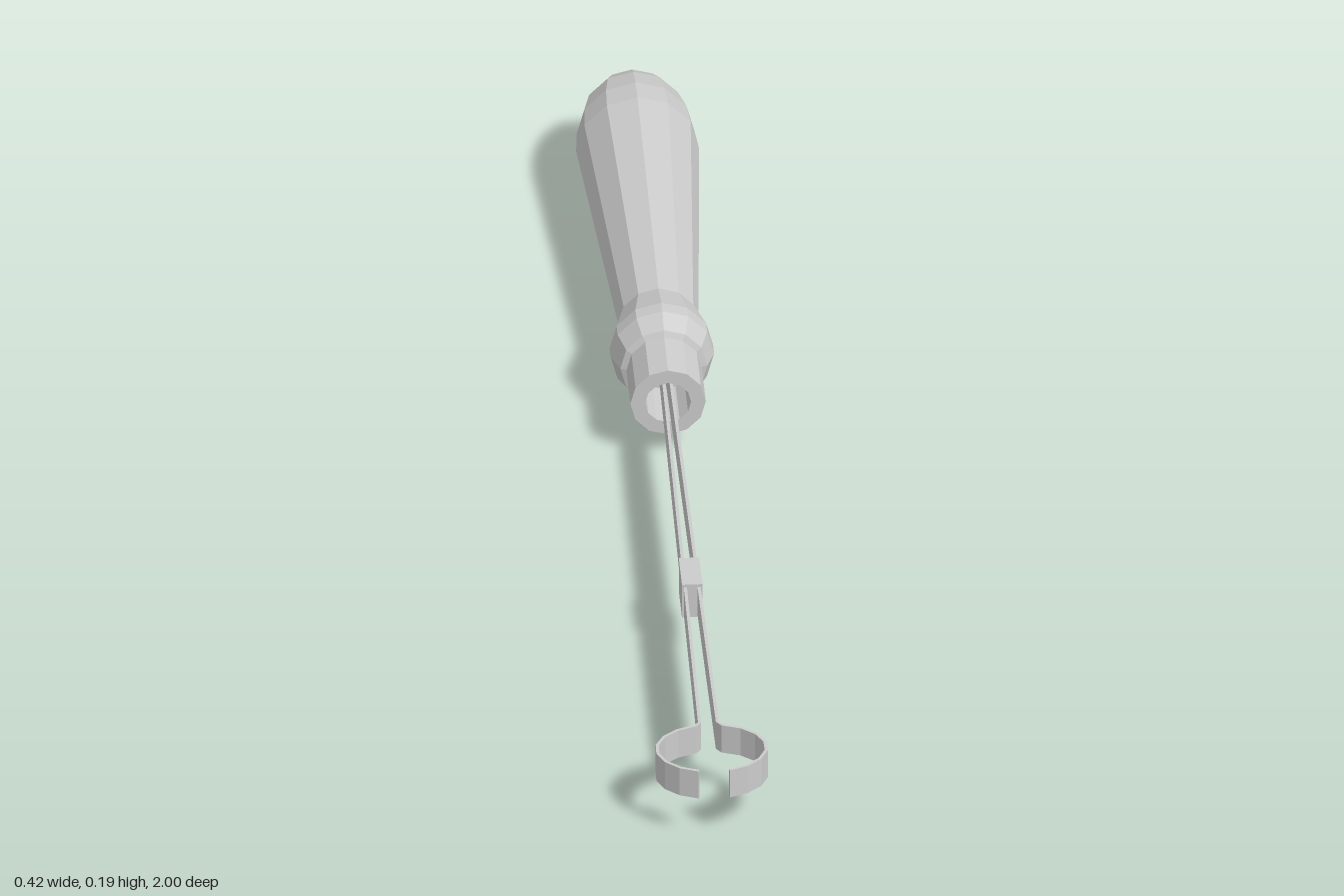
import * as THREE from 'three';

const mat = new THREE.MeshStandardMaterial({ color: 0xcccccc, flatShading: true, side: THREE.DoubleSide });

function add(parent, name, geometry) {
  const mesh = new THREE.Mesh(geometry, mat);
  mesh.name = name;
  parent.add(mesh);
  return mesh;
}

// Twelve-sided turned part along z; profile is [radius, z] from back to front
function turned(profile) {
  const g = new THREE.LatheGeometry(profile.map(([r, z]) => new THREE.Vector2(r, z)), 12);
  return g.rotateX(Math.PI / 2);
}

// Upright sheet-metal strip following a path of [x, z] points
function strip(path, thickness, height) {
  const pts = path.map(([x, z]) => new THREE.Vector2(x, z));
  const side = (sign) => pts.map((p, i) => {
    const a = pts[Math.max(i - 1, 0)], b = pts[Math.min(i + 1, pts.length - 1)];
    const d = b.clone().sub(a).normalize();
    return new THREE.Vector2(p.x - d.y * sign * thickness / 2, p.y + d.x * sign * thickness / 2);
  });
  const shape = new THREE.Shape([...side(1), ...side(-1).reverse()]);
  const g = new THREE.ExtrudeGeometry(shape, { depth: height, bevelEnabled: false });
  return g.rotateX(Math.PI / 2).translate(0, height / 2, 0);
}

export function createModel() {
  const root = new THREE.Group();
  root.name = 'loopTool';

  // Whole tool lies along a slightly turned axis
  const tool = new THREE.Group();
  tool.name = 'tool';
  tool.position.set(-0.003, 0.098, 0);
  tool.rotation.y = 0.133;
  root.add(tool);

  // Bulb-ended grip with a collar at the front
  add(tool, 'handle', turned([
    [0, -1.006], [0.038, -1.002], [0.062, -0.985], [0.08, -0.95], [0.092, -0.9], [0.096, -0.85],
    [0.063, -0.345], [0.081, -0.275], [0.081, -0.25], [0.068, -0.215], [0.05, -0.208], [0, -0.208],
  ]));

  // Hollow ferrule
  add(tool, 'ferrule', turned([
    [0.036, -0.209], [0.059, -0.209], [0.059, -0.112], [0.036, -0.112], [0.036, -0.209],
  ]));

  // Two mirrored spring arms, each ending in half of the open loop
  for (const s of [1, -1]) {
    const path = [[s * 0.005, -0.205], [s * 0.014, 0.862]];
    for (let i = 0; i <= 7; i++) {
      const a = THREE.MathUtils.degToRad(14 + i * 150 / 7);
      path.push([s * 0.086 * Math.sin(a), 0.937 - 0.068 * Math.cos(a)]);
    }
    add(tool, s > 0 ? 'leftArm' : 'rightArm', strip(path, 0.005, 0.05)).position.y = 0.002;
  }

  // Sliding clip holding the arms together
  add(tool, 'clip', new THREE.BoxGeometry(0.032, 0.06, 0.078)).position.set(0, 0.002, 0.43);

  return root;
}
